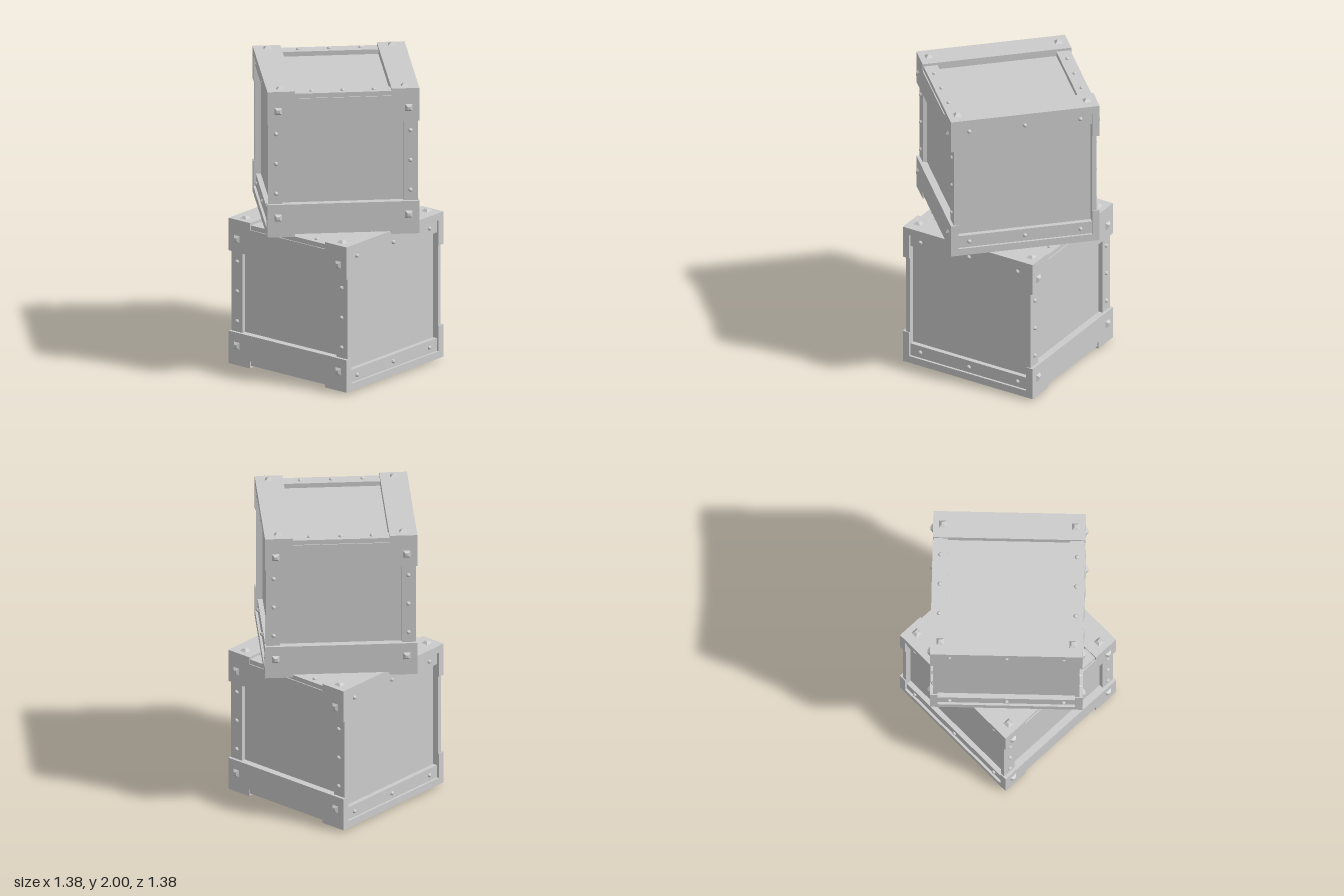
import * as THREE from 'three';

const H = 0.488;   // outer half size of a crate
const B = 0.44;    // half size of the inner panel box
const T = 0.468;   // outer face of the thin strips

const material = new THREE.MeshStandardMaterial({ color: 0xcccccc, flatShading: true });
const studGeometry = new THREE.CylinderGeometry(0.014, 0.034, 0.016, 4).rotateY(Math.PI / 4).translate(0, 0.008, 0);
const rivetGeometry = new THREE.SphereGeometry(0.0145, 8, 4, 0, Math.PI * 2, 0, Math.PI / 2);
const UP = new THREE.Vector3(0, 1, 0);

// Box given by its minimum and maximum corners, mirrored by sign factors
function bar(parent, name, min, max, sx = 1, sy = 1, sz = 1) {
  const mesh = new THREE.Mesh(
    new THREE.BoxGeometry(max[0] - min[0], max[1] - min[1], max[2] - min[2]), material);
  mesh.position.set(
    sx * (min[0] + max[0]) / 2, sy * (min[1] + max[1]) / 2, sz * (min[2] + max[2]) / 2);
  mesh.name = name;
  parent.add(mesh);
}

// Stud or rivet standing on a face with the given outward normal
function fastener(parent, name, geometry, position, normal) {
  const mesh = new THREE.Mesh(geometry, material);
  mesh.position.set(...position);
  mesh.quaternion.setFromUnitVectors(UP, new THREE.Vector3(...normal));
  mesh.name = name;
  parent.add(mesh);
}

function createCrate(name) {
  const crate = new THREE.Group();
  crate.name = name;
  bar(crate, 'innerPanels', [-B, -B, -B], [B, B, B]);

  for (const a of [-1, 1]) {
    for (const b of [-1, 1]) {
      // Wide planks on top and bottom, running front to back
      bar(crate, 'lidPlank', [0.31, B, -H], [H, H, H], a, b, 1);
      // Wide planks across the front and back
      bar(crate, 'facePlank', [-H, 0.27, B], [H, B, H], 1, a, b);
      // Thin strips between the wide planks
      bar(crate, 'cornerStrip', [0.39, -0.27, B], [0.481, 0.27, T], a, 1, b);
      bar(crate, 'lidStrip', [-0.31, B, 0.39], [0.31, T + 0.003, 0.481], 1, a, b);
      bar(crate, 'sideStrip', [B, 0.355, -B], [T + 0.004, B, B], a, b, 1);

      // Rivets, three along every strip
      for (const i of [-1, 0, 1]) {
        fastener(crate, 'cornerRivet', rivetGeometry, [a * 0.432, i * 0.2, b * T], [0, 0, b]);
        fastener(crate, 'lidRivet', rivetGeometry, [i * 0.2, a * (T + 0.003), b * 0.437], [0, a, 0]);
        fastener(crate, 'sideRivet', rivetGeometry, [a * (T + 0.004), b * 0.4, i * 0.365], [a, 0, 0]);
      }

      // Square studs at the plank ends
      for (const c of [-1, 1]) {
        fastener(crate, 'lidStud', studGeometry, [a * 0.4, b * H, c * 0.425], [0, b, 0]);
        fastener(crate, 'faceStud', studGeometry, [a * 0.42, c * 0.358, b * H], [0, 0, b]);
      }
    }
  }
  return crate;
}

export function createModel() {
  const model = new THREE.Group();
  model.name = 'stackedCrates';

  const lower = createCrate('lowerCrate');
  lower.position.y = H + 0.016;
  model.add(lower);

  // Upper crate is turned an eighth of a turn
  const upper = createCrate('upperCrate');
  upper.position.y = 2 - H - 0.016;
  upper.rotation.y = Math.PI / 4;
  model.add(upper);

  return model;
}
